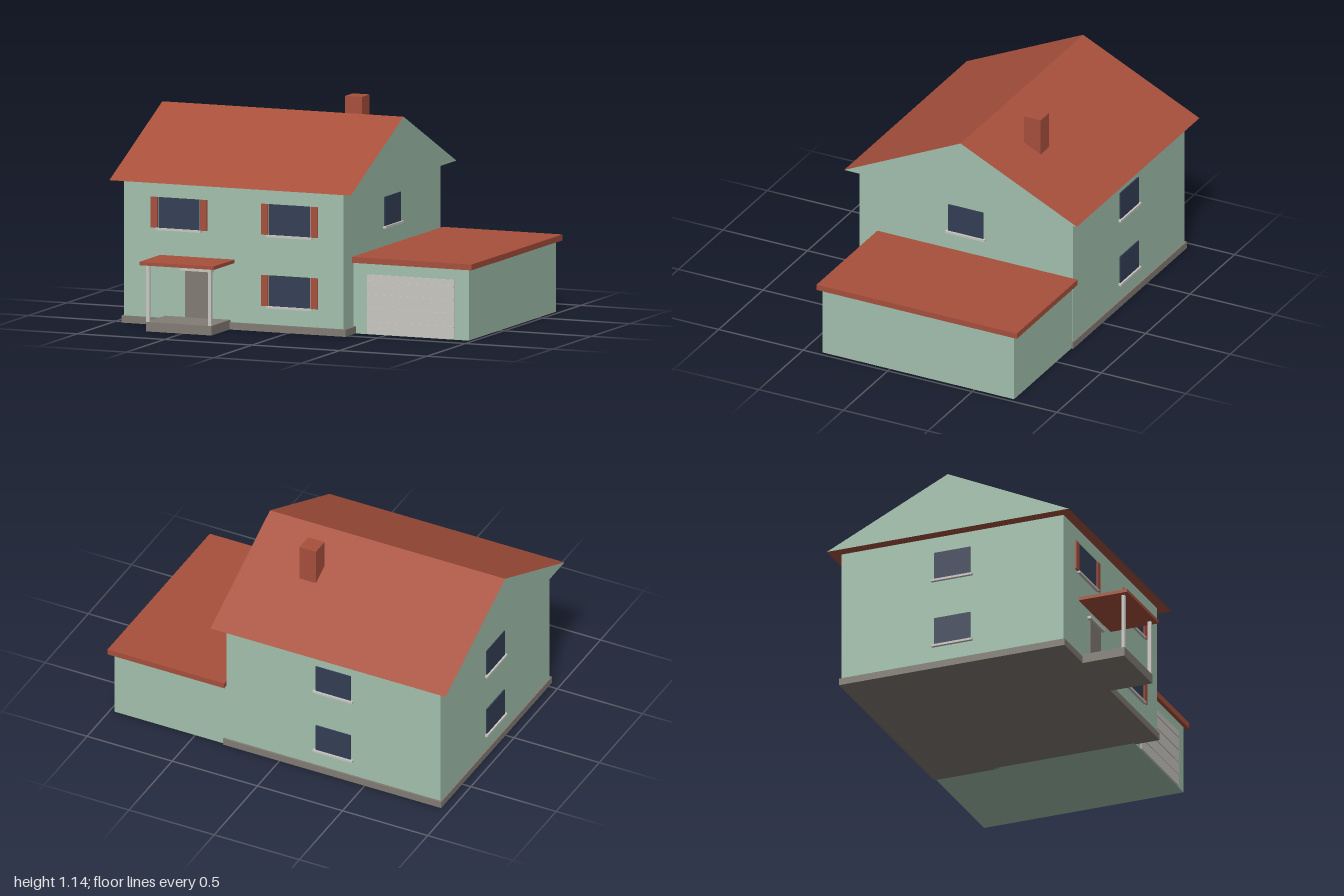
import * as THREE from 'three';

const mat = (name, color) => {
  const m = new THREE.MeshStandardMaterial({ color });
  m.name = name;
  return m;
};

export function createModel() {
  const green = mat('greenWall', 0xa3c1ae);
  const red = mat('redTile', 0xa8503c);
  const pale = mat('paleTrim', 0xcac8c3);
  const grey = mat('greyStone', 0x827c74);
  const navy = mat('darkGlass', 0x343f55);

  const house = new THREE.Group();
  house.name = 'house';

  // Box given by its limits on each axis
  const box = (name, material, [x0, x1], [y0, y1], [z0, z1], parent = house) => {
    const mesh = new THREE.Mesh(new THREE.BoxGeometry(x1 - x0, y1 - y0, z1 - z0), material);
    mesh.position.set((x0 + x1) / 2, (y0 + y1) / 2, (z0 + z1) / 2);
    mesh.name = name;
    parent.add(mesh);
    return mesh;
  };

  // Main block and its plinth
  box('foundation', grey, [-0.95, 0.33], [0, 0.038], [-0.745, 0.537]);
  box('mainWalls', green, [-0.94, 0.315], [0.02, 0.758], [-0.735, 0.527]);

  // Gabled roof: green gable ends, red slopes and underside
  const gable = new THREE.Shape([
    new THREE.Vector2(-0.583, 0.757),
    new THREE.Vector2(0.793, 0.757),
    new THREE.Vector2(0.105, 1.082),
  ]);
  const roofGeo = new THREE.ExtrudeGeometry(gable, { depth: 1.38, bevelEnabled: false });
  roofGeo.rotateY(Math.PI / 2); // extrusion runs along +x, shape x becomes -z
  roofGeo.translate(-1, 0, 0);
  const roof = new THREE.Mesh(roofGeo, [green, red]);
  roof.name = 'mainRoof';
  house.add(roof);

  box('chimney', red, [-0.043, 0.053], [0.85, 1.14], [-0.407, -0.307]);

  // Garage with flat roof and panelled door
  box('garageWalls', green, [0.315, 0.975], [0, 0.378], [-0.734, 0.4]);
  box('garageRoof', red, [0.315, 1], [0.376, 0.407], [-0.763, 0.421]);
  box('garageDoor', pale, [0.395, 0.895], [0.003, 0.317], [0.398, 0.406]);
  for (let i = 0; i < 4; i++) {
    const y = 0.066 + i * 0.072;
    box('garageDoorRib', pale, [0.397, 0.893], [y - 0.003, y + 0.003], [0.4, 0.41]);
  }

  // Porch and front door
  box('porchSlab', grey, [-0.706, -0.332], [0, 0.05], [0.5, 0.775]);
  box('porchRoof', red, [-0.733, -0.308], [0.352, 0.37], [0.52, 0.8]);
  for (const x of [-0.696, -0.342]) {
    box('porchPost', pale, [x - 0.009, x + 0.009], [0.05, 0.353], [0.757, 0.775]);
  }
  box('frontDoor', grey, [-0.59, -0.452], [0.05, 0.297], [0.525, 0.534]);
  box('doorLintel', pale, [-0.614, -0.426], [0.297, 0.312], [0.525, 0.547]);

  // Window facing +z around its lower centre, turned onto a wall
  const addWindow = (name, x, y, z, angle, width, height, shutters) => {
    const win = new THREE.Group();
    win.name = name;
    const h = width / 2;
    box('glass', navy, [-h, h], [0, height], [-0.002, 0.006], win);
    box('sill', pale, [-h - 0.013, h + 0.013], [-0.011, 0.001], [-0.002, 0.016], win);
    if (shutters) {
      for (const s of [-1, 1]) {
        const c = s * (h + 0.026);
        box('shutter', red, [c - 0.019, c + 0.019], [0, height], [-0.002, 0.009], win);
      }
    }
    win.position.set(x, y, z);
    win.rotation.y = angle;
    house.add(win);
  };

  const upper = 0.513, lower = 0.136;
  for (const [x, y] of [[-0.625, upper], [0.008, upper], [0.008, lower]]) {
    addWindow('frontWindow', x, y, 0.527, 0, 0.232, 0.163, true);
  }
  for (const y of [upper, lower]) {
    addWindow('backWindow', -0.313, y, -0.735, Math.PI, 0.206, 0.155, false);
    addWindow('rightHandWindow', -0.94, y, -0.104, -Math.PI / 2, 0.206, 0.155, false);
  }
  addWindow('leftHandWindow', 0.315, upper, -0.104, Math.PI / 2, 0.206, 0.155, false);

  return house;
}
